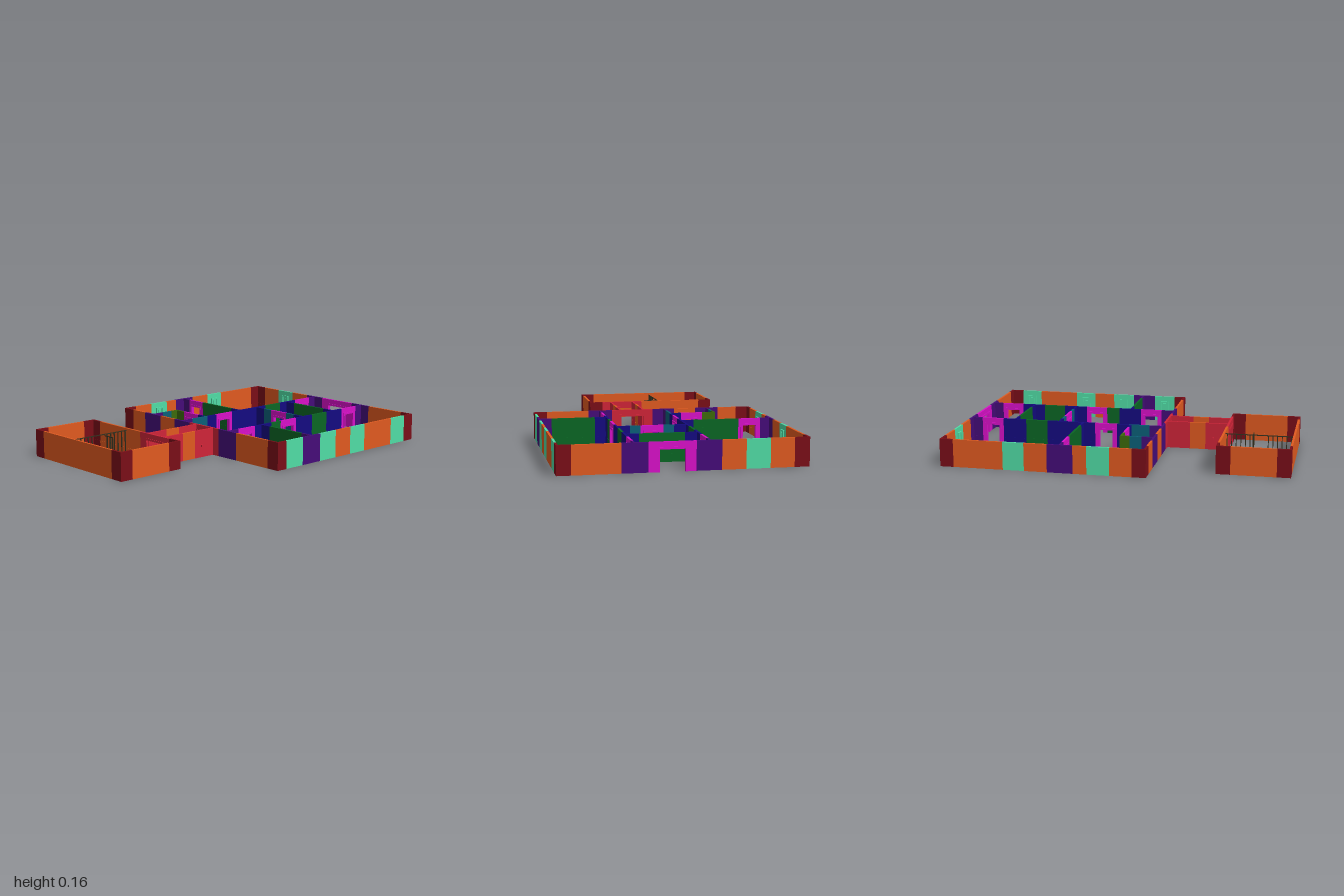
import * as THREE from 'three';

const H = 0.163, T = 0.013;
const COLORS = {
  maroon: 0x7a0e18, orange: 0xe05a20, purple: 0x450c78, mint: 0x50dca5, navy: 0x140a80,
  green: 0x0a6624, magenta: 0xd810c8, teal: 0x0b6078, red: 0xcf2438, olive: 0x3c6a0a, iron: 0x33301f,
};
const mats = {};
for (const k in COLORS) mats[k] = new THREE.MeshStandardMaterial({ color: COLORS[k], flatShading: true });

function box(parent, name, color, w, h, d, x, y, z) {
  const m = new THREE.Mesh(new THREE.BoxGeometry(w, h, d), mats[color]);
  m.name = name;
  m.position.set(x, y, z);
  parent.add(m);
  return m;
}

// One panel in local space: length along x, thickness along z, inner side +z
function panel(color, len, kind, sides) {
  const g = new THREE.Group();
  g.name = color + (kind ? kind[0].toUpperCase() + kind.slice(1) : 'Wall') + 'Panel';
  if (kind === 'door' || kind === 'gateway') {
    const open = kind === 'door' ? 0.08 : 0.14, top = 0.122;
    const s = new THREE.Shape();
    const a = len / 2, b = open / 2;
    [[-a, 0], [-b, 0], [-b, top], [b, top], [b, 0], [a, 0], [a, H], [-a, H]]
      .forEach(([x, y], i) => (i ? s.lineTo(x, y) : s.moveTo(x, y)));
    const geo = new THREE.ExtrudeGeometry(s, { depth: T, bevelEnabled: false });
    geo.translate(0, 0, -T / 2);
    const m = new THREE.Mesh(geo, mats[color]);
    m.name = 'doorwayWall';
    g.add(m);
    // raised frame round the opening
    const f = 0.012, d = T + 0.008;
    for (const sx of [-1, 1]) box(g, 'doorJamb', color, f, top + f, d, sx * (b + f / 2), (top + f) / 2, 0);
    box(g, 'doorLintel', color, open, f, d, 0, top + f / 2, 0);
    return g;
  }
  box(g, 'wall', color, len, H, T, 0, H / 2, 0);
  // low wainscot on the room sides
  for (const s of sides) box(g, 'wainscot', color, len, 0.045, 0.0015, 0, 0.0225, s * (T / 2 + 0.0007));
  if (kind === 'window') {
    const w = 0.055, h = 0.09, f = 0.008, y = 0.088, z = T / 2 + 0.004;
    for (const s of [-1, 1]) {
      box(g, 'windowStile', color, f, h, 0.008, s * (w - f) / 2, y, z);
      box(g, 'windowRail', color, w - 2 * f, f, 0.008, 0, y + s * (h - f) / 2, z);
    }
    box(g, 'windowPane', color, 0.024, 0.055, 0.004, 0, y, T / 2 + 0.002);
  }
  if (kind === 'knob') box(g, 'doorKnob', color, 0.012, 0.012, 0.01, 0.02, 0.07, -T / 2 - 0.004);
  return g;
}

// A straight run of panels; segs = [color, end, kind]; inner = +1/-1 room side, 0 = both
function run(parent, name, axis, at, start, segs, inner = 0) {
  const g = new THREE.Group();
  g.name = name;
  let p = start;
  for (const [color, end, kind] of segs) {
    const q = panel(color, end - p, kind, inner ? [1] : [-1, 1]);
    const mid = (p + end) / 2;
    if (axis === 'x') {
      q.position.set(mid, 0, at);
      q.rotation.y = inner < 0 ? Math.PI : 0;
    } else {
      q.position.set(at, 0, mid);
      q.rotation.y = inner < 0 ? -Math.PI / 2 : Math.PI / 2;
    }
    g.add(q);
    p = end;
  }
  parent.add(g);
}

export function createModel() {
  const root = new THREE.Group();
  root.name = 'floorPlan';

  // Main building, outer walls
  const main = new THREE.Group();
  main.name = 'mainBuilding';
  root.add(main);
  run(main, 'backWall', 'x', -0.989, -0.69, [['maroon', -0.605], ['orange', -0.47], ['mint', -0.335, 'window'],
    ['orange', -0.2], ['purple', -0.06], ['magenta', 0.2, 'gateway'], ['purple', 0.345], ['orange', 0.61], ['maroon', 0.69]], 1);
  run(main, 'frontWall', 'x', 0.203, -0.69, [['maroon', -0.605], ['orange', -0.485], ['purple', -0.335],
    ['orange', -0.2], ['purple', -0.06], ['red', 0.2, 'gateway'], ['purple', 0.35], ['orange', 0.61], ['maroon', 0.69]], -1);
  run(main, 'rightWall', 'z', 0.6835, -0.9825, [['maroon', -0.915], ['mint', -0.785, 'window'], ['orange', -0.535],
    ['mint', -0.405, 'window'], ['orange', -0.275], ['mint', -0.14, 'window'], ['purple', 0.005],
    ['mint', 0.14, 'window'], ['maroon', 0.1965]], -1);
  run(main, 'leftWall', 'z', -0.6835, -0.9825, [['maroon', -0.915], ['orange', -0.62], ['mint', -0.495, 'window'],
    ['orange', -0.36], ['purple', -0.21], ['orange', -0.13], ['mint', 0, 'window'], ['orange', 0.13], ['maroon', 0.1965]], 1);

  // Main building, partitions
  run(main, 'leftCorridorWall', 'z', -0.135, -0.9825, [['purple', -0.925], ['magenta', -0.79, 'door'], ['navy', -0.645],
    ['green', -0.51], ['navy', -0.21], ['magenta', -0.075, 'door'], ['navy', 0], ['teal', 0.125], ['purple', 0.1965]]);
  run(main, 'rightCorridorWall', 'z', 0.277, -0.9825, [['purple', -0.925], ['magenta', -0.79, 'door'], ['navy', -0.645],
    ['green', -0.51], ['navy', -0.365], ['magenta', -0.23, 'door'], ['green', -0.15], ['navy', -0.01],
    ['magenta', 0.125, 'door'], ['purple', 0.1965]]);
  run(main, 'backCrossWall', 'x', -0.713, -0.1285, [['navy', -0.06], ['green', 0.2], ['navy', 0.2705]]);
  run(main, 'middleCrossWall', 'x', -0.435, -0.1285, [['navy', -0.06], ['teal', 0.003], ['magenta', 0.138, 'door'],
    ['teal', 0.2], ['navy', 0.2705]]);
  run(main, 'leftRoomWall', 'x', -0.286, -0.677, [['purple', -0.62], ['magenta', -0.485, 'door'], ['green', -0.21],
    ['navy', -0.1415]]);
  box(main, 'wallBoard', 'green', 0.06, 0.05, 0.006, -0.24, 0.09, -0.295);
  run(main, 'rightRoomWall', 'x', -0.073, 0.2835, [['navy', 0.35], ['green', 0.61], ['purple', 0.677]]);
  run(main, 'closetBackWall', 'x', 0.009, -0.417, [['olive', -0.335], ['magenta', -0.2, 'door'], ['navy', -0.1415]]);
  run(main, 'closetSideWall', 'z', -0.41, 0.0155, [['olive', 0.06], ['teal', 0.13], ['purple', 0.1965]]);

  // Connecting passage
  const passage = new THREE.Group();
  passage.name = 'passage';
  root.add(passage);
  run(passage, 'passageLeftWall', 'z', 0, 0.2095, [['red', 0.35], ['orange', 0.445], ['red', 0.578, 'knob']], 1);
  run(passage, 'passageRightWall', 'z', 0.145, 0.2095, [['red', 0.35, 'knob'], ['orange', 0.445], ['red', 0.578]], -1);

  // Front annex
  const annex = new THREE.Group();
  annex.name = 'annex';
  root.add(annex);
  run(annex, 'annexBackWall', 'x', 0.584, -0.53, [['maroon', -0.45], ['orange', -0.06], ['red', 0.2, 'gateway'],
    ['maroon', 0.283]], 1);
  run(annex, 'annexFrontWall', 'x', 0.9925, -0.53, [['maroon', -0.45], ['orange', 0.2], ['maroon', 0.283]], -1);
  for (const [name, x, s] of [['annexLeftWall', -0.5235, 1], ['annexRightWall', 0.2765, -1]])
    run(annex, name, 'z', x, 0.5905, [['maroon', 0.66], ['orange', 0.92], ['maroon', 0.986]], s);

  // Barred partition with an open gate
  const bars = new THREE.Group();
  bars.name = 'barredPartition';
  annex.add(bars);
  const barH = 0.15, r = 0.005, x0 = -0.19;
  for (let i = 0; i <= 14; i++) {
    const z = 0.6 + i * 0.0268;
    if (z > 0.76 && z < 0.825) continue;
    box(bars, 'bar', 'iron', r, barH, r, x0, barH / 2, z);
  }
  box(bars, 'topRail', 'iron', r, r, 0.395, x0, barH, 0.788);
  for (const [z, d] of [[0.67, 0.16], [0.905, 0.162]]) box(bars, 'bottomRail', 'iron', r, r, d, x0, r / 2, z);
  for (let i = 1; i <= 3; i++) box(bars, 'gateBar', 'iron', r, barH - 0.01, r, x0 + i * 0.025, barH / 2, 0.75);
  for (const y of [0.008, barH - 0.008]) box(bars, 'gateRail', 'iron', 0.078, r, r, x0 + 0.039, y, 0.75);

  return root;
}
